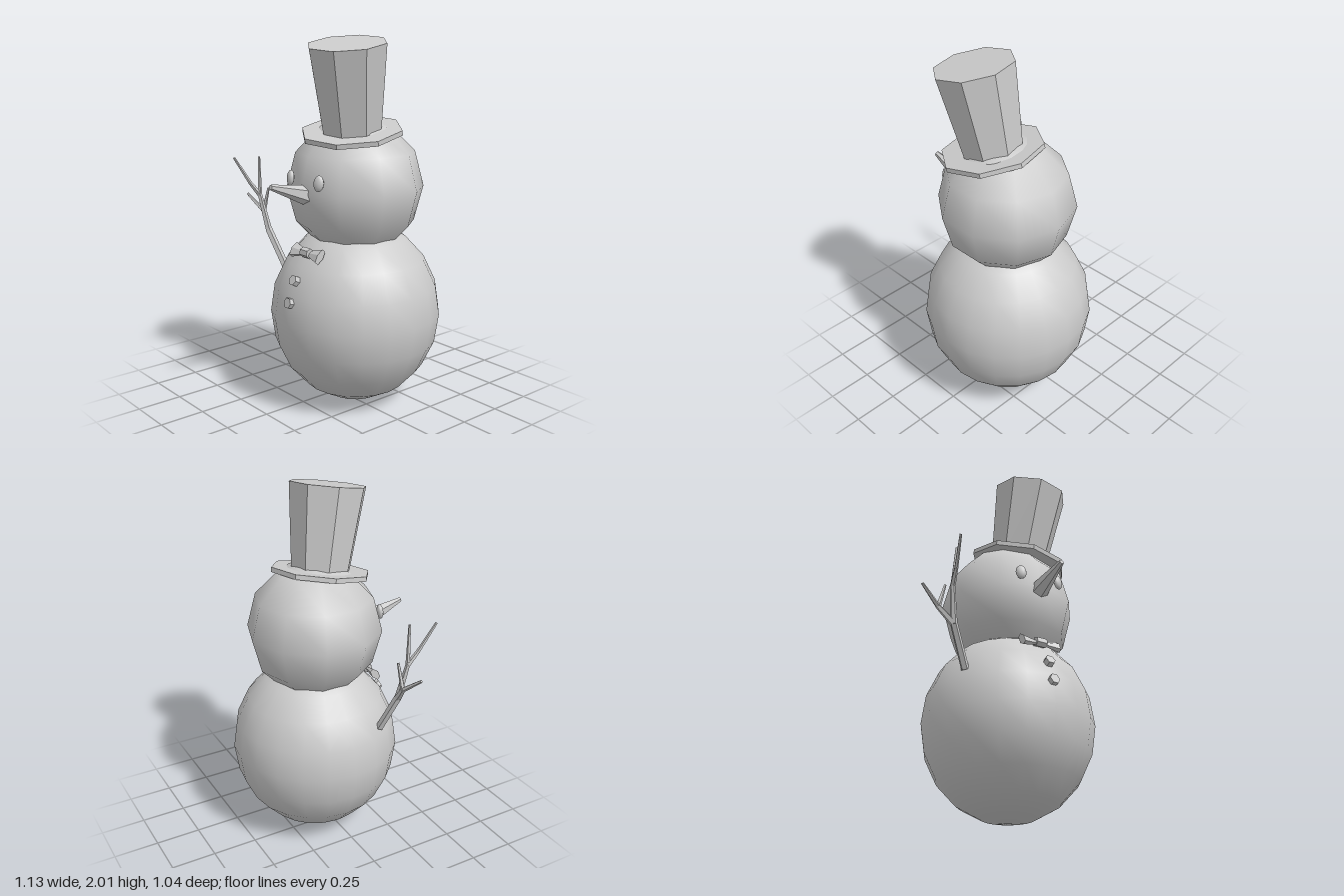
import * as THREE from 'three';

const smooth = new THREE.MeshStandardMaterial({ color: 0xcccccc });
const flat = new THREE.MeshStandardMaterial({ color: 0xcccccc, flatShading: true });

function add(parent, name, geometry, material, x = 0, y = 0, z = 0) {
  const mesh = new THREE.Mesh(geometry, material);
  mesh.name = name;
  mesh.position.set(x, y, z);
  parent.add(mesh);
  return mesh;
}

// Tapered rod between two points
function rod(parent, name, from, to, r0, r1, sides) {
  const a = new THREE.Vector3(...from);
  const b = new THREE.Vector3(...to);
  const dir = b.clone().sub(a);
  const mesh = add(parent, name, new THREE.CylinderGeometry(r1, r0, dir.length(), sides), flat);
  mesh.position.copy(a).add(b).multiplyScalar(0.5);
  mesh.quaternion.setFromUnitVectors(new THREE.Vector3(0, 1, 0), dir.normalize());
  return mesh;
}

// Chain of rods thinning from r0 to r1
function branch(parent, name, points, r0, r1) {
  const n = points.length - 1;
  const radius = (i) => r0 + ((r1 - r0) * i) / n;
  for (let i = 0; i < n; i++) rod(parent, name, points[i], points[i + 1], radius(i), radius(i + 1), 5);
}

export function createModel() {
  const model = new THREE.Group();
  model.name = 'snowman';
  const cx = 0.095;

  // Snowballs
  add(model, 'body', new THREE.SphereGeometry(0.47, 20, 10).scale(1, 1.085, 1), smooth, cx, 0.52, -0.05);
  add(model, 'head', new THREE.SphereGeometry(0.373, 10, 6).rotateY(Math.PI / 2).scale(1, 1.02, 1),
    smooth, cx, 1.215, -0.047);

  // Top hat, leaning forward and to its left
  const hat = new THREE.Group();
  hat.name = 'hat';
  hat.position.set(0.135, 1.515, 0.015);
  hat.rotation.set(0.16, 0, -0.1);
  model.add(hat);
  add(hat, 'brim', new THREE.CylinderGeometry(0.275, 0.275, 0.026, 8).rotateY(-0.22), flat, 0, 0.005, 0);
  add(hat, 'crown', new THREE.CylinderGeometry(0.212, 0.163, 0.46, 8).rotateY(-0.25), flat, 0, 0.24, 0);

  // Eyes
  for (const s of [-1, 1]) {
    const eye = add(model, s < 0 ? 'rightEye' : 'leftEye',
      new THREE.SphereGeometry(1, 10, 8).scale(0.03, 0.042, 0.019), smooth, cx + s * 0.118, 1.283, 0.302);
    eye.rotation.set(-0.1, s * 0.35, 0);
  }

  // Carrot nose
  rod(model, 'nose', [cx, 1.2, 0.27], [cx, 1.273, 0.515], 0.056, 0.014, 6);

  // Bow tie: two flared wings and a knot
  const bow = new THREE.Group();
  bow.name = 'bowTie';
  bow.position.set(cx, 0.895, 0.288);
  bow.rotation.x = -0.7;
  model.add(bow);
  for (const s of [-1, 1]) {
    const wing = new THREE.CylinderGeometry(0.046, 0.018, 0.088, 6)
      .scale(1, 1, 0.5).rotateZ(-s * Math.PI / 2);
    add(bow, s < 0 ? 'rightWing' : 'leftWing', wing, flat, s * 0.066, 0, 0);
  }
  add(bow, 'knot', new THREE.CylinderGeometry(0.027, 0.027, 0.06, 6)
    .rotateZ(Math.PI / 2), flat, 0, 0, 0.004);

  // Buttons
  for (const [y, z, tilt] of [[0.76, 0.373, -0.45], [0.645, 0.408, -0.22]]) {
    const button = add(model, 'button',
      new THREE.CylinderGeometry(0.029, 0.029, 0.03, 6).rotateY(Math.PI / 6).rotateX(Math.PI / 2), flat, cx, y, z);
    button.rotation.x = tilt;
  }

  // Twig arm with its forks
  const arm = new THREE.Group();
  arm.name = 'rightArm';
  model.add(arm);
  const fork = [-0.37, 0.93, 0.205];
  const upper = [-0.4, 1.13, 0.24];
  const elbow = [-0.45, 1.02, 0.18];
  branch(arm, 'forearm', [[-0.275, 0.715, 0.155], fork], 0.022, 0.021);
  branch(arm, 'middleFinger', [fork, upper, [-0.387, 1.35, 0.25]], 0.019, 0.007);
  branch(arm, 'frontFinger', [upper, [-0.41, 1.2, 0.295], [-0.433, 1.35, 0.385]], 0.015, 0.007);
  branch(arm, 'outerFinger', [fork, elbow, [-0.56, 1.11, 0.215]], 0.02, 0.008);
  branch(arm, 'twig', [elbow, [-0.41, 1.16, 0.172]], 0.014, 0.007);

  return model;
}
